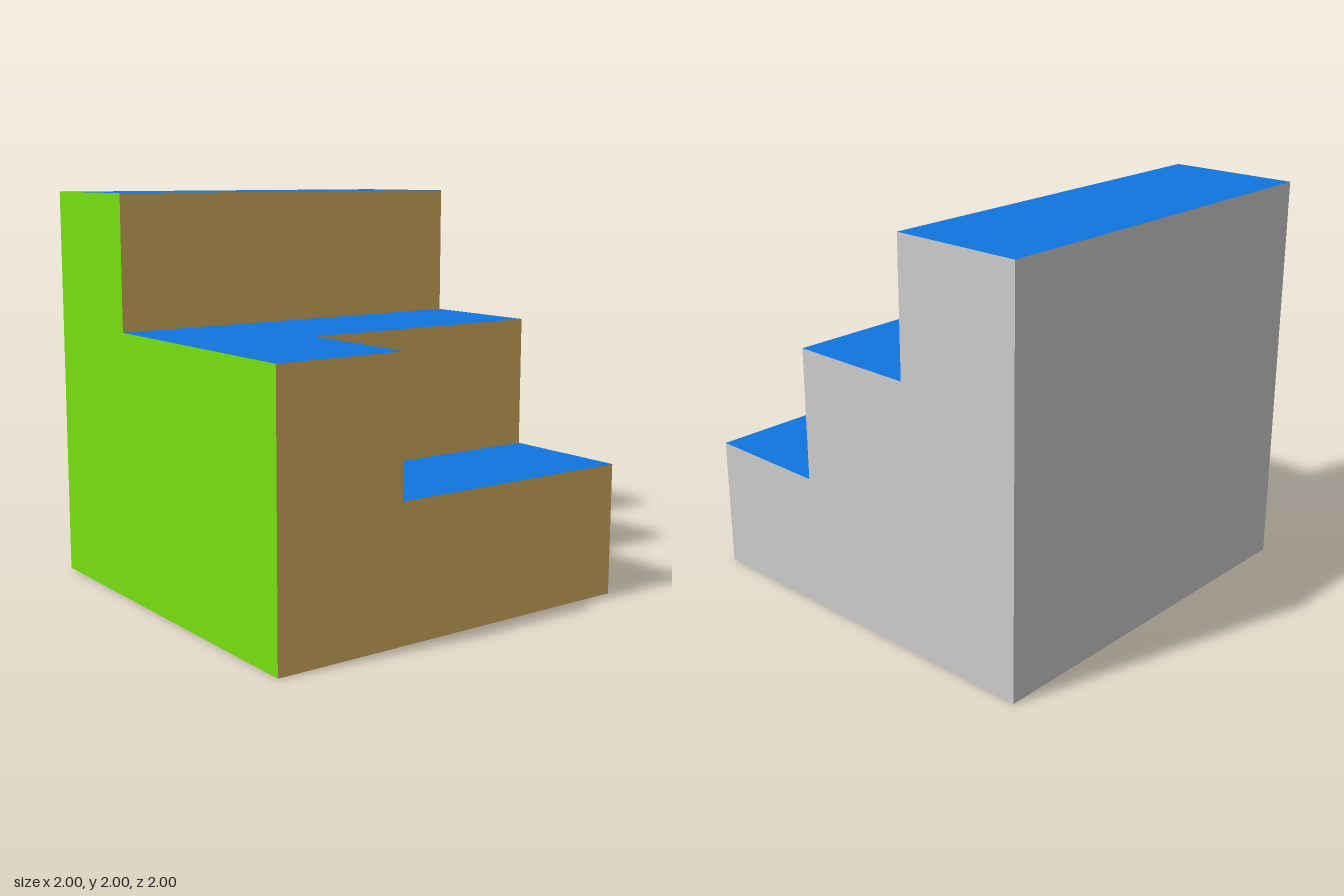
import * as THREE from 'three';

const T = 1 / 3; // the block is a 2-unit cube cut on a grid of thirds

const grey = new THREE.MeshStandardMaterial({ color: 0xcccccc });
const green = new THREE.MeshStandardMaterial({ color: 0x77df0f });
const tan = new THREE.MeshStandardMaterial({ color: 0xdcb35f });
const blue = new THREE.MeshStandardMaterial({ color: 0x0f75de });

// Each facing: its two in-plane axes, its outward normal and its material
const facings = {
  front: [[1, 0, 0], [0, 1, 0], [0, 0, 1], green],
  back: [[-1, 0, 0], [0, 1, 0], [0, 0, -1], grey],
  right: [[0, 0, -1], [0, 1, 0], [1, 0, 0], tan],
  left: [[0, 0, 1], [0, 1, 0], [-1, 0, 0], grey],
  top: [[1, 0, 0], [0, 0, -1], [0, 1, 0], blue],
  bottom: [[1, 0, 0], [0, 0, 1], [0, -1, 0], grey],
};

const rect = (u0, v0, u1, v1) => [[u0, v0], [u1, v0], [u1, v1], [u0, v1]];

// A flat face, drawn in its own plane and set out along its normal
function face(name, facing, offset, outline) {
  const [u, v, n, material] = facings[facing];
  const [U, V, N] = [u, v, n].map((a) => new THREE.Vector3(...a));
  const shape = new THREE.Shape(outline.map(([x, y]) => new THREE.Vector2(x, y)));
  const geometry = new THREE.ShapeGeometry(shape);
  geometry.applyMatrix4(new THREE.Matrix4().makeBasis(U, V, N).setPosition(N.clone().multiplyScalar(offset)));
  const mesh = new THREE.Mesh(geometry, material);
  mesh.name = name;
  return mesh;
}

export function createModel() {
  const model = new THREE.Group();
  model.name = 'steppedBlock';
  model.add(
    // Front and back walls follow the stair profile
    face('frontWall', 'front', 1, [[-1, 0], [1, 0], [1, 4 * T], [-T, 4 * T], [-T, 2], [-1, 2]]),
    face('backWall', 'back', 1, [[-1, 0], [1, 0], [1, 2], [T, 2], [T, 4 * T], [-T, 4 * T], [-T, 2 * T], [-1, 2 * T]]),
    face('notchWall', 'back', -T, rect(-1, 2 * T, -T, 4 * T)),
    // Side wall with the notch, and the risers behind it
    face('rightWall', 'right', 1, [[-1, 0], [1, 0], [1, 2 * T], [-T, 2 * T], [-T, 4 * T], [-1, 4 * T]]),
    face('lowerRiser', 'right', T, rect(-T, 2 * T, 1, 4 * T)),
    face('upperRiser', 'right', -T, rect(-1, 4 * T, 1, 2)),
    face('leftWall', 'left', 1, rect(-1, 0, 1, 2)),
    // Treads and base
    face('upperTread', 'top', 2, rect(-1, -1, -T, 1)),
    face('middleTread', 'top', 4 * T, [[-T, -1], [1, -1], [1, -T], [T, -T], [T, 1], [-T, 1]]),
    face('lowerTread', 'top', 2 * T, rect(T, -T, 1, 1)),
    face('base', 'bottom', 0, rect(-1, -1, 1, 1)),
  );
  return model;
}
